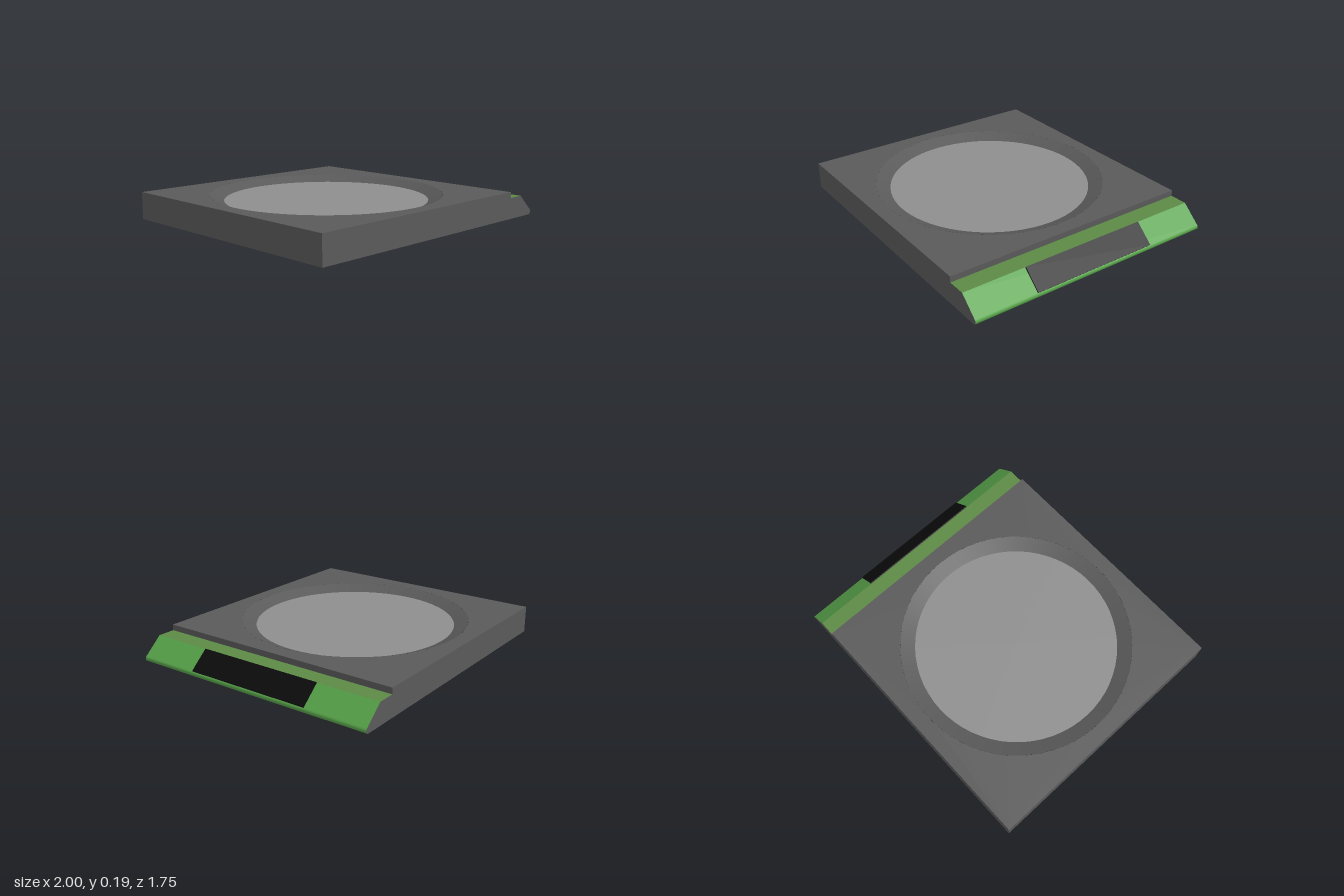
import * as THREE from 'three';

const HALF = 0.875, TOP = 0.185, STEP = 0.145, STEP_X = 0.75, EDGE_X = 0.87;
const DISH_X = -0.125, RIM = 0.775, FLOOR = 0.68, SEG = 64, TIP = 0.02;

const material = (name, color) => {
  const m = new THREE.MeshStandardMaterial({ color });
  m.name = name;
  return m;
};

// Sweeps a clockwise run of [x, y] points across the depth
function strip(points, half) {
  const pos = [], index = [];
  points.forEach(([x, y], i) => {
    pos.push(x, y, half, x, y, -half);
    if (i) {
      const a = 2 * i - 2;
      index.push(a, a + 2, a + 3, a, a + 3, a + 1);
    }
  });
  const g = new THREE.BufferGeometry();
  g.setAttribute('position', new THREE.Float32BufferAttribute(pos, 3));
  g.setIndex(index);
  g.computeVertexNormals();
  return g;
}

export function createModel() {
  const group = new THREE.Group();
  const grey = material('dark grey', 0x5a5a5a);
  const silver = material('light grey', 0x8e8e8e);
  const green = material('green', 0x58a44a);
  const olive = material('olive green', 0x5c8a45);
  const black = material('black', 0x0c0c0c);
  const add = (name, geometry, mat) => {
    const mesh = new THREE.Mesh(geometry, mat);
    mesh.name = name;
    group.add(mesh);
    return mesh;
  };

  // Rounded nose, tangent to the slope and the underside
  const start = Math.atan2(EDGE_X - 0.993, 0.035 - STEP) + Math.PI;
  const a0 = Math.PI / 2 - Math.atan2(STEP - 0.035, 0.993 - EDGE_X);
  const nose = [];
  for (let i = 0; i <= 10; i++) {
    const a = a0 + (-Math.PI / 2 - a0) * i / 10;
    nose.push([1 - TIP + TIP * Math.cos(a), TIP + TIP * Math.sin(a)]);
  }
  const slope = [[EDGE_X, STEP], nose[0]];
  const ledge = [[STEP_X, STEP], [EDGE_X, STEP]];

  // Faces running along the depth
  add('leftWall', strip([[-1, 0], [-1, TOP]], HALF), grey);
  add('stepWall', strip([[STEP_X, TOP], [STEP_X, STEP]], HALF), grey);
  add('ledge', strip(ledge, HALF), olive);
  add('slope', strip(slope, HALF), green);
  add('nose', strip(nose, HALF), green);
  add('underside', strip([nose[10], [-1, 0]], HALF), green);

  // Front and back walls share the side profile
  const outline = [[-1, 0], [-1, TOP], [STEP_X, TOP], [STEP_X, STEP], [EDGE_X, STEP], ...nose];
  const side = new THREE.ShapeGeometry(new THREE.Shape(outline.map(([x, y]) => new THREE.Vector2(x, y))));
  add('frontWall', side, grey).position.z = HALF;
  const back = side.clone().rotateY(Math.PI).scale(1, 1, 1);
  const p = back.attributes.position;
  for (let i = 0; i < p.count; i++) p.setX(i, -p.getX(i));
  const ix = back.index.array;
  for (let i = 0; i < ix.length; i += 3) [ix[i], ix[i + 1]] = [ix[i + 1], ix[i]];
  add('backWall', back, grey).position.z = -HALF;

  // Top plate with a round opening
  const plate = new THREE.Shape([[-1, -HALF], [STEP_X, -HALF], [STEP_X, HALF], [-1, HALF]]
    .map(([x, y]) => new THREE.Vector2(x, y)));
  plate.holes.push(new THREE.Path().absarc(DISH_X, 0, RIM, 0, Math.PI * 2, true));
  add('topPlate', new THREE.ShapeGeometry(plate, SEG).rotateX(-Math.PI / 2), grey).position.y = TOP;

  // Sloping rim and flat floor of the dish
  const rim = [new THREE.Vector2(RIM, TOP), new THREE.Vector2(FLOOR, STEP)];
  add('dishRim', new THREE.LatheGeometry(rim, SEG), grey).position.x = DISH_X;
  add('dishFloor', new THREE.CircleGeometry(FLOOR, SEG).rotateX(-Math.PI / 2), silver)
    .position.set(DISH_X, STEP, 0);

  // Thin dark panel lying on the slope
  const length = Math.hypot(nose[0][0] - EDGE_X, STEP - nose[0][1]);
  const panel = add('slopePanel', new THREE.BoxGeometry(length, 0.008, 0.885), black);
  panel.rotation.z = a0 - Math.PI / 2;
  panel.position.set(
    (EDGE_X + nose[0][0]) / 2 + 0.004 * Math.cos(a0),
    (STEP + nose[0][1]) / 2 + 0.004 * Math.sin(a0), 0);

  return group;
}
